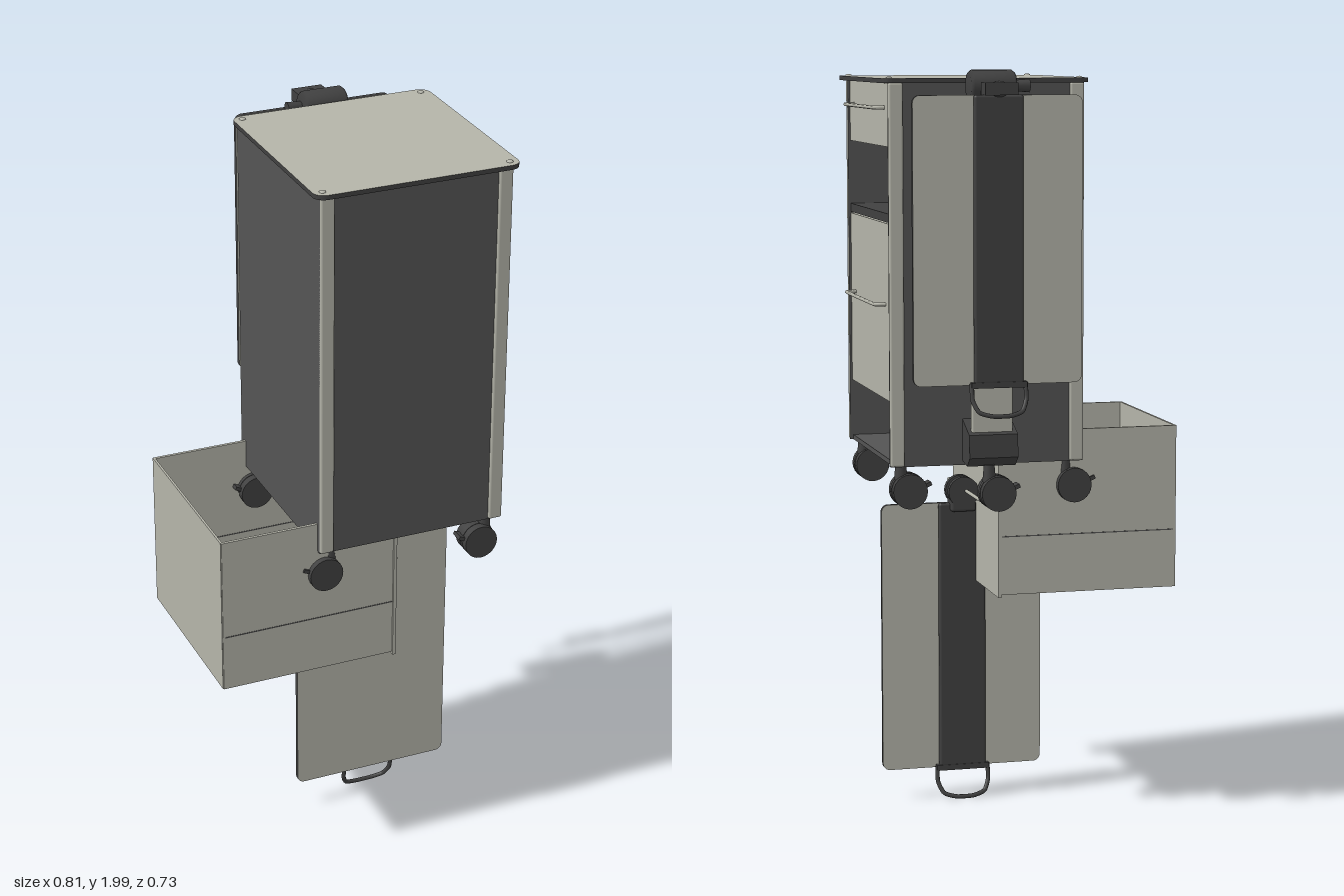
import * as THREE from 'three';
import { RoundedBoxGeometry } from 'three/addons/geometries/RoundedBoxGeometry.js';

const mat = (name, color) => Object.assign(new THREE.MeshStandardMaterial({ color }), { name });

export function createModel() {
  const light = mat('warm grey', 0xb4b4a9);
  const panel = mat('dark panel grey', 0x545454);
  const dark = mat('charcoal plastic', 0x404040);
  const root = new THREE.Group();

  const add = (parent, name, geo, material, x = 0, y = 0, z = 0) => {
    const m = new THREE.Mesh(geo, material);
    m.name = name;
    m.position.set(x, y, z);
    parent.add(m);
    return m;
  };
  // Box given by its limits on each axis
  const box = (parent, name, material, x0, x1, y0, y1, z0, z1) =>
    add(parent, name, new THREE.BoxGeometry(x1 - x0, y1 - y0, z1 - z0), material,
      (x0 + x1) / 2, (y0 + y1) / 2, (z0 + z1) / 2);
  const group = (name, parent = root) => {
    const g = new THREE.Group();
    g.name = name;
    parent.add(g);
    return g;
  };
  const tube = (parent, name, points, radius, material) =>
    add(parent, name, new THREE.TubeGeometry(
      new THREE.CatmullRomCurve3(points.map(p => new THREE.Vector3(...p)), false, 'catmullrom', 0.3),
      40, radius, 8), material);
  // Rounded rectangle centred on the origin, extruded along z
  const slab = (w, h, r, depth) => {
    const s = new THREE.Shape(), a = w / 2, b = h / 2;
    s.absarc(a - r, b - r, r, 0, Math.PI / 2);
    s.absarc(-a + r, b - r, r, Math.PI / 2, Math.PI);
    s.absarc(-a + r, -b + r, r, Math.PI, Math.PI * 1.5);
    s.absarc(a - r, -b + r, r, Math.PI * 1.5, Math.PI * 2);
    return new THREE.ExtrudeGeometry(s, { depth, bevelEnabled: false, curveSegments: 8 });
  };
  // Bow handle on a face pointing along +x
  const handle = (parent, x, y) => tube(parent, 'drawerHandle',
    [[x, y, -0.115], [x + 0.022, y, -0.11], [x + 0.03, y, -0.09], [x + 0.03, y, 0.25],
      [x + 0.022, y, 0.27], [x, y, 0.275]], 0.005, light);

  // Cabinet shell, open towards +x
  const cabinet = group('cabinet');
  box(cabinet, 'leftPanel', panel, -0.14, -0.125, 0.975, 1.965, -0.195, 0.345);
  box(cabinet, 'floor', panel, -0.125, 0.37, 0.972, 0.985, -0.19, 0.34);
  box(cabinet, 'shelf', dark, -0.125, 0.372, 1.605, 1.628, -0.185, 0.34);
  box(cabinet, 'frontPanel', panel, -0.14, 0.378, 0.972, 1.965, 0.338, 0.348);
  box(cabinet, 'backPanel', panel, -0.14, 0.378, 0.972, 1.965, -0.198, -0.182);
  for (const x of [-0.121, 0.361])
    for (const z of [-0.197, 0.347])
      add(cabinet, 'cornerPost', new RoundedBoxGeometry(0.038, 0.992, 0.016, 3, 0.006), light, x, 1.469, z);

  // Top plate with corner buttons
  const top = add(cabinet, 'topPlate', slab(0.555, 0.575, 0.03, 0.012), [light, dark], 0.1225, 1.964, 0.0775);
  top.rotation.x = -Math.PI / 2;
  for (const x of [-0.13, 0.375])
    for (const z of [-0.188, 0.34]) {
      const b = add(cabinet, 'cornerButton', new THREE.SphereGeometry(0.009, 12, 8), light, x, 1.976, z);
      b.scale.y = 0.5;
    }

  // Closed drawers
  for (const [y0, y1, hy] of [[1.80, 1.962, 1.9], [1.14, 1.602, 1.39]]) {
    const d = group('closedDrawer', cabinet);
    box(d, 'drawerBody', light, -0.12, 0.372, y0, y1, -0.18, 0.336);
    handle(d, 0.37, hy);
  }

  // Separate open-topped drawer
  const bin = group('looseDrawer');
  box(bin, 'drawerFloor', light, -0.405, 0.08, 0.615, 0.623, -0.175, 0.33);
  box(bin, 'drawerRear', light, -0.407, -0.401, 0.615, 1.053, -0.175, 0.33);
  box(bin, 'drawerFace', light, 0.076, 0.085, 0.608, 1.055, -0.178, 0.338);
  for (const z of [-0.172, 0.329]) {
    box(bin, 'drawerSide', light, -0.405, 0.08, 0.615, 1.053, z - 0.004, z + 0.004);
    box(bin, 'sideSeam', panel, -0.4, 0.075, 0.77, 0.773, z - 0.005, z + 0.005);
  }
  handle(bin, 0.085, 0.86);

  // Twin-wheel casters
  const caster = (x, z) => {
    const c = group('caster');
    c.position.set(x, 0.905, z);
    for (const s of [-1, 1]) {
      const w = add(c, 'casterWheel', new THREE.CylinderGeometry(0.046, 0.046, 0.022, 24), dark, 0, 0, s * 0.019);
      w.rotation.x = Math.PI / 2;
    }
    const hood = add(c, 'casterHood', new THREE.CylinderGeometry(0.047, 0.047, 0.016, 20, 1, false, 0, Math.PI), dark);
    hood.rotation.set(Math.PI / 2, Math.PI / 2, 0, 'ZXY');
    add(c, 'casterStem', new THREE.CylinderGeometry(0.014, 0.018, 0.045, 16), dark, 0.02, 0.052, 0);
    const pedal = box(c, 'brakePedal', dark, -0.06, -0.03, 0.008, 0.018, -0.018, 0.018);
    pedal.rotation.z = -0.4;
  };
  for (const z of [-0.165, 0.32]) {
    caster(-0.12, z);
    caster(0.325, z);
  }
  caster(0.11, -0.258);

  // Rear column with its foot and pivot
  const column = group('rearColumn');
  add(column, 'columnPlate', new RoundedBoxGeometry(0.11, 0.9, 0.014, 2, 0.005), light, 0.122, 1.49, -0.256);
  const foot = new THREE.Shape([[0.195, 0.985], [0.195, 1.095], [0.275, 1.06], [0.28, 1.0], [0.25, 0.975]]
    .map(p => new THREE.Vector2(...p)));
  const footMesh = add(column, 'columnFoot', new THREE.ExtrudeGeometry(foot, { depth: 0.13, bevelEnabled: false }),
    dark, 0.057, 0, 0);
  footMesh.rotation.y = Math.PI / 2;
  const barrel = add(column, 'pivotBarrel', new THREE.LatheGeometry(
    [[0, -0.06], [0.034, -0.06], [0.041, -0.052], [0.041, 0.052], [0.034, 0.06], [0, 0.06]]
      .map(p => new THREE.Vector2(...p)), 24), dark, 0.123, 1.957, -0.256);
  barrel.rotation.z = Math.PI / 2;
  const knob = add(column, 'pivotKnob', new THREE.CylinderGeometry(0.017, 0.014, 0.04, 8), dark, 0.044, 1.957, -0.262);
  knob.rotation.z = Math.PI / 2;
  box(column, 'pivotMount', dark, 0.075, 0.175, 1.93, 1.963, -0.23, -0.195);
  box(column, 'pivotArm', dark, 0.085, 0.16, 1.935, 1.965, -0.34, -0.28);

  // Folding table leaf, hanging down, with spine and pull loop
  const tableLeaf = (name, dy, dz) => {
    const t = group(name);
    t.position.set(0, dy, dz);
    add(t, 'leafPanel', slab(0.445, 0.738, 0.02, 0.013), [light, dark], 0.1225, 0.456, 0.084);
    add(t, 'leafSpine', new RoundedBoxGeometry(0.13, 0.735, 0.018, 3, 0.007), dark, 0.123, 0.458, 0.078);
    tube(t, 'pullLoop', [[0.052, 0.092, 0.078], [0.052, 0.05, 0.07], [0.066, 0.02, 0.055], [0.1, 0.01, 0.047],
      [0.146, 0.01, 0.047], [0.18, 0.02, 0.055], [0.194, 0.05, 0.07], [0.194, 0.092, 0.078]], 0.006, dark);
    box(t, 'loopBracket', dark, 0.05, 0.196, 0.08, 0.095, 0.068, 0.084);
    return t;
  };
  tableLeaf('upperTable', 1.11, -0.41);
  const lower = tableLeaf('lowerTable', 0, 0);

  // Upper hinge clasp
  const upperHinge = group('upperHinge');
  const ball = add(upperHinge, 'hingeBall', new THREE.SphereGeometry(0.026, 20, 14), dark, 0.122, 1.95, -0.335);
  ball.scale.y = 0.8;
  box(upperHinge, 'hingePlate', dark, 0.08, 0.165, 1.935, 1.967, -0.366, -0.315);

  // Lower hinge with forked cheeks
  for (const z of [0.06, 0.1]) {
    const cheek = add(lower, 'hingeCheek', new THREE.CylinderGeometry(0.042, 0.042, 0.018, 24), dark, 0.123, 0.857, z);
    cheek.rotation.x = Math.PI / 2;
  }
  add(lower, 'hingeBlock', new RoundedBoxGeometry(0.07, 0.06, 0.055, 2, 0.008), dark, 0.123, 0.833, 0.08);

  return root;
}
